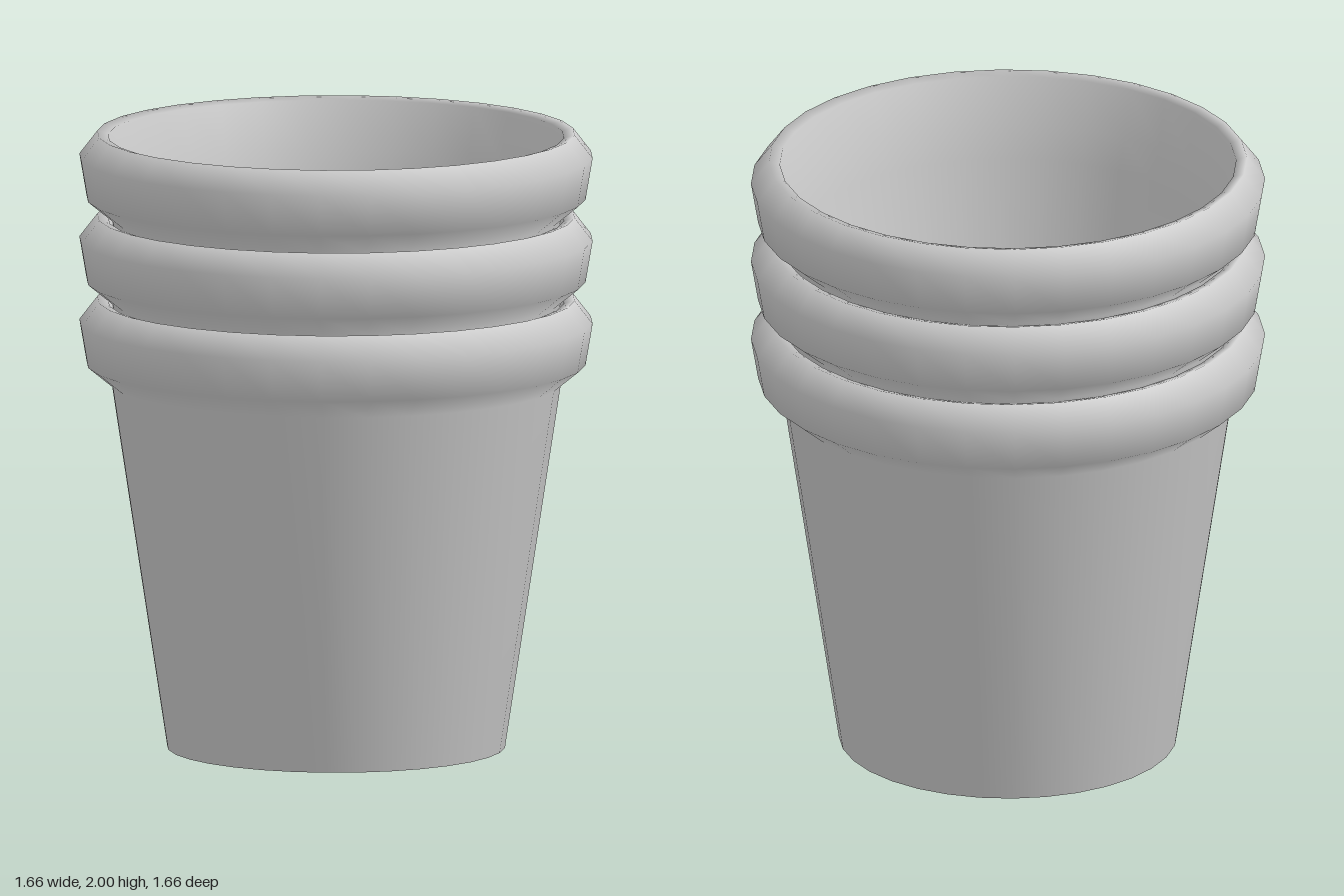
import * as THREE from 'three';

const SIDES = 32;
const SPACING = 0.27; // height between stacked pots

// Pot wall: up the outside, over the rim, down the inside to the floor
const PROFILE = [
  [0.45, 0.05], [0.45, 0], [0.545, 0],
  [0.725, 1.185],                                  // under the lip
  [0.805, 1.25], [0.828, 1.385], [0.77, 1.46],     // lip band
  [0.735, 1.45], [0.708, 1.29], [0.67, 1.19],      // inner ledge
  [0.5, 0.1], [0.45, 0.05],                        // inside wall and floor edge
].map(([r, y]) => new THREE.Vector2(r, y));

export function createModel() {
  const model = new THREE.Group();
  model.name = 'stackedPots';
  const clay = new THREE.MeshStandardMaterial({ color: 0xcccccc });
  const thinClay = new THREE.MeshStandardMaterial({ color: 0xcccccc, side: THREE.DoubleSide });

  const wallGeometry = new THREE.LatheGeometry(PROFILE, SIDES);
  const floorGeometry = new THREE.CircleGeometry(0.452, SIDES).rotateX(-Math.PI / 2);

  ['bottomPot', 'middlePot', 'topPot'].forEach((name, i) => {
    const pot = new THREE.Group();
    pot.name = name;
    pot.position.y = i * SPACING;

    const wall = new THREE.Mesh(wallGeometry, clay);
    wall.name = 'potWall';

    const floor = new THREE.Mesh(floorGeometry, thinClay);
    floor.name = 'potFloor';
    floor.position.y = 0.03;

    pot.add(wall, floor);
    model.add(pot);
  });
  return model;
}
